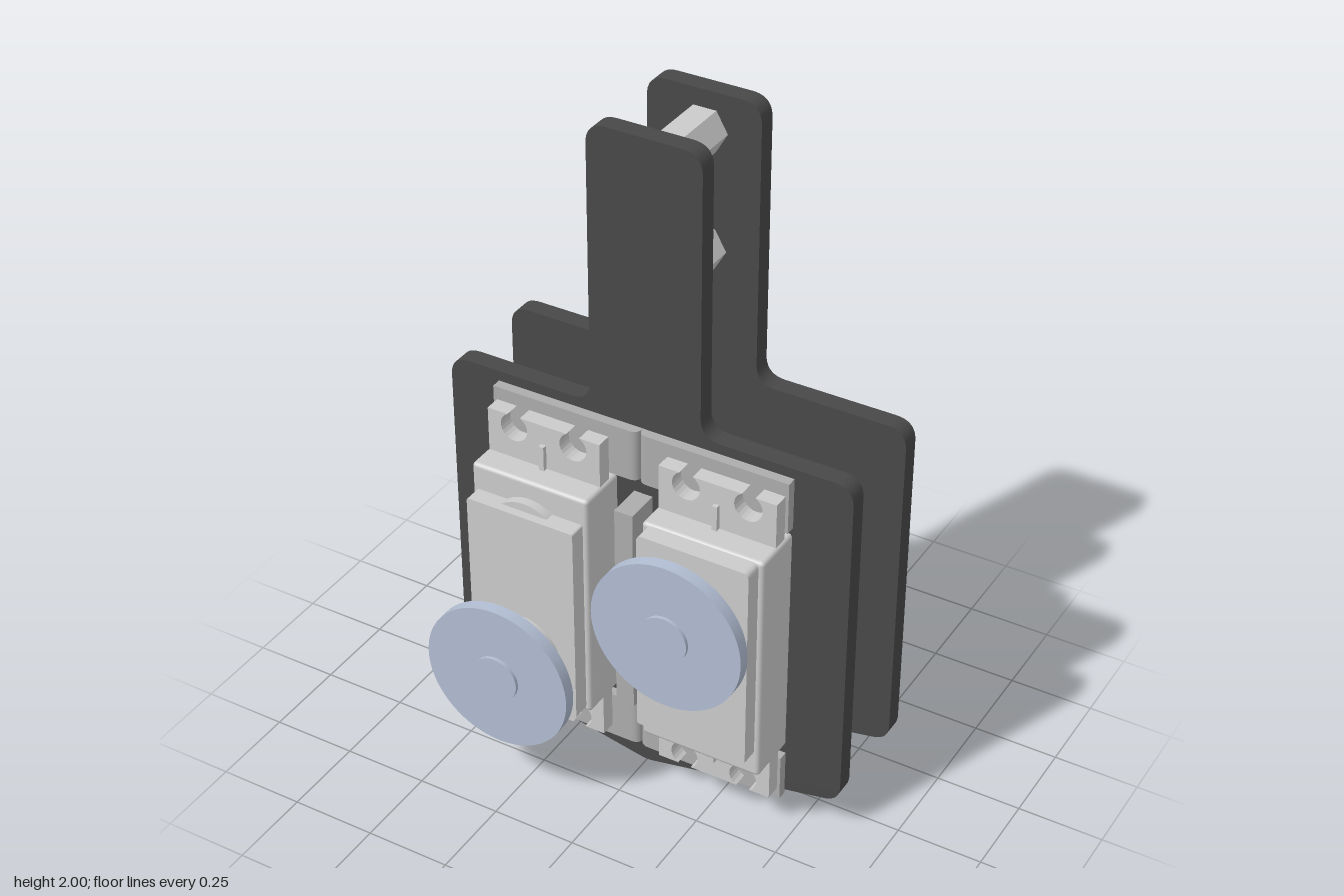
import * as THREE from 'three';
import { RoundedBoxGeometry } from 'three/addons/geometries/RoundedBoxGeometry.js';

const mat = (name, color) => {
  const m = new THREE.MeshStandardMaterial({ color });
  m.name = name;
  return m;
};

export function createModel() {
  const model = new THREE.Group();
  model.name = 'twinServoHandle';
  const dark = mat('charcoal plate', 0x484848);
  const light = mat('light grey casing', 0xcbcbcb);
  const grey = mat('mid grey metal', 0xacacac);
  const blue = mat('pale blue wheel', 0xb1bdd2);

  const add = (parent, name, geo, material, x = 0, y = 0, z = 0) => {
    const m = new THREE.Mesh(geo, material);
    m.name = name;
    m.position.set(x, y, z);
    parent.add(m);
    return m;
  };
  // box given by its extents
  const box = (parent, name, material, x0, x1, y0, y1, z0, z1) =>
    add(parent, name, new THREE.BoxGeometry(x1 - x0, y1 - y0, z1 - z0), material,
      (x0 + x1) / 2, (y0 + y1) / 2, (z0 + z1) / 2);
  // cylinder along z between two depths
  const disc = (parent, name, material, r, x, y, z0, z1, sides = 64) =>
    add(parent, name, new THREE.CylinderGeometry(r, r, z1 - z0, sides).rotateX(Math.PI / 2),
      material, x, y, (z0 + z1) / 2);
  const extrude = (shape, depth) =>
    new THREE.ExtrudeGeometry(shape, { depth, bevelEnabled: false, curveSegments: 10 });
  // closed outline whose corners [x, y, radius] are rounded
  const roundedShape = (pts) => {
    const s = new THREE.Shape();
    pts.forEach(([x, y, r], i) => {
      const c = new THREE.Vector2(x, y);
      const toward = (p) => c.clone().add(new THREE.Vector2(p[0] - x, p[1] - y).setLength(r));
      const a = toward(pts[(i + pts.length - 1) % pts.length]);
      const b = toward(pts[(i + 1) % pts.length]);
      if (i) s.lineTo(a.x, a.y); else s.moveTo(a.x, a.y);
      if (r > 0) s.quadraticCurveTo(x, y, b.x, b.y);
    });
    s.closePath();
    return s;
  };

  // paddle-shaped side plates with a tall grip
  const paddle = roundedShape([
    [0, 0, 0.02], [0.612, 0.12, 0.05], [0.612, 1.17, 0.06], [0.165, 1.17, 0.06],
    [0.165, 2, 0.06], [-0.17, 2, 0.06], [-0.17, 1.17, 0.06], [-0.612, 1.17, 0.06],
    [-0.612, 0.12, 0.05],
  ]);
  add(model, 'frontPlate', extrude(paddle, 0.055), dark, 0, 0, 0.041);
  add(model, 'backPlate', extrude(paddle, 0.055), dark, 0, 0, -0.256);

  // hexagonal standoffs between the plates
  for (const y of [0.16, 1.545, 1.89]) {
    const hex = new THREE.CylinderGeometry(0.068, 0.068, 0.25, 6).toNonIndexed();
    hex.computeVertexNormals();
    hex.rotateY(Math.PI / 6).rotateX(Math.PI / 2);
    add(model, 'standoff', hex, light, 0, y, -0.08);
  }

  // bent T brackets: two folded sheets back to back
  const tBracket = (name, length, y0, y1, z, front) => {
    const W = 0.45, h = 0.028, t = 0.03;
    const s = new THREE.Shape();
    s.moveTo(-W, 0);
    s.lineTo(-h, 0);
    s.quadraticCurveTo(0, 0, 0, -h);
    s.quadraticCurveTo(0, 0, h, 0);
    s.lineTo(W, 0);
    s.lineTo(W, -t);
    s.lineTo(h, -t);
    s.lineTo(h, -length);
    s.lineTo(-h, -length);
    s.lineTo(-h, -t);
    s.lineTo(-W, -t);
    s.closePath();
    const geo = extrude(s, y1 - y0).rotateX(-Math.PI / 2);
    if (front) geo.rotateY(Math.PI);
    add(model, name, geo, grey, -0.008, y0, z);
  };
  tBracket('backBracket', 0.5, 0.22, 0.985, -0.45, false);
  tBracket('frontBracketLower', 0.475, 0.075, 0.22, 0.125, true);
  tBracket('frontBracketUpper', 0.475, 0.985, 1.14, 0.125, true);
  box(model, 'bracketTongue', grey, -0.036, 0.02, 0.28, 0.93, 0, 0.2);

  // mounting ear with two screw notches open to its outer edge
  const earShape = () => {
    const s = new THREE.Shape();
    const r = 0.042, top = 0.495, cy = 0.458;
    const a = Math.asin((top - cy) / r);
    s.moveTo(-0.175, 0.35);
    s.lineTo(-0.175, top);
    for (const cx of [-0.0925, 0.0925]) {
      s.lineTo(cx - r * Math.cos(a), top);
      s.absarc(cx, cy, r, Math.PI - a, Math.PI * 2 + a, false);
    }
    s.lineTo(0.175, top);
    s.lineTo(0.175, 0.35);
    s.closePath();
    return s;
  };

  const servo = (name, x, turn) => {
    const g = new THREE.Group();
    g.name = name;
    g.position.set(x, 0.605, 0);
    g.rotation.z = turn;
    model.add(g);

    add(g, 'casing', new RoundedBoxGeometry(0.364, 0.72, 0.578, 2, 0.012), light, 0, 0, -0.041);

    // rear cap with notched corners and screws
    box(g, 'rearCap', light, -0.125, 0.125, -0.357, 0.357, -0.355, -0.325);
    box(g, 'rearCapWide', light, -0.18, 0.18, -0.29, 0.29, -0.354, -0.325);
    for (const sx of [-1, 1]) for (const sy of [-1, 1])
      disc(g, 'rearScrew', grey, 0.03, sx * 0.15, sy * 0.323, -0.346, -0.32, 24);

    // gearbox cover and its rounded bump
    const cover = roundedShape([
      [-0.167, -0.355, 0.02], [0.167, -0.355, 0.02], [0.167, 0.28, 0.008], [-0.167, 0.28, 0.008],
    ]);
    add(g, 'gearCover', extrude(cover, 0.06), light, 0, 0, 0.24);
    disc(g, 'gearBump', light, 0.115, 0, 0.19, 0.24, 0.275);

    // ears with a small stiffening rib at both ends
    for (const end of [0, Math.PI]) {
      const ear = add(g, 'mountingEar', extrude(earShape(), 0.047), light, 0, 0, 0.124);
      ear.rotation.z = end;
      const rib = box(g, 'earRib', light, -0.008, 0.008, 0.35, 0.435, 0.165, 0.185);
      if (end) rib.position.y *= -1;
    }

    // output shaft and wheel
    const sy = -0.176;
    disc(g, 'outputBoss', light, 0.118, 0, sy, 0.29, 0.328);
    disc(g, 'outputCollar', light, 0.095, 0, sy, 0.32, 0.337);
    disc(g, 'outputSpline', grey, 0.035, 0, sy, 0.33, 0.36, 24);
    disc(g, 'wheelHub', blue, 0.083, 0, sy, 0.353, 0.405);
    disc(g, 'wheel', blue, 0.223, 0, sy, 0.4, 0.436, 96);
    disc(g, 'wheelCap', blue, 0.069, 0, sy, 0.43, 0.446);
  };
  servo('rightServo', -0.272, 0);
  servo('leftServo', 0.258, Math.PI);

  return model;
}
